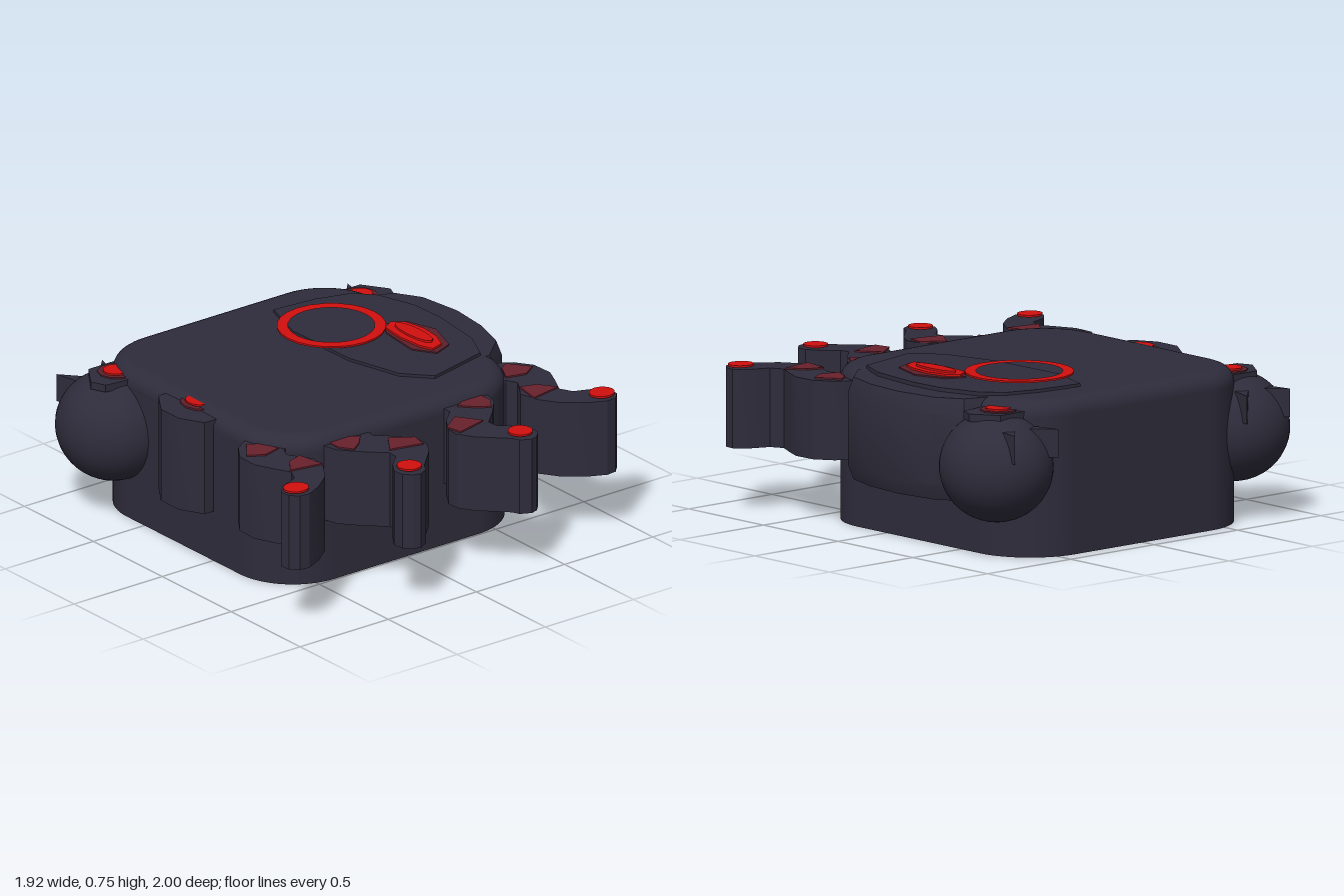
import * as THREE from 'three';
import { toCreasedNormals } from 'three/addons/utils/BufferGeometryUtils.js';

const mat = (name, color) => {
  const m = new THREE.MeshStandardMaterial({ color });
  m.name = name;
  return m;
};

export function createModel() {
  const model = new THREE.Group();
  const dark = mat('charcoal', 0x2e2c3b);
  const red = mat('bright red', 0xd20f0f);
  const dim = mat('dim red', 0x68212d);
  const halo = mat('halo red', 0x5a212b);

  const add = (name, geo, material) => {
    const mesh = new THREE.Mesh(geo, material);
    mesh.name = name;
    model.add(mesh);
    return mesh;
  };

  // Outline in (x, z) as a shape; s = -1 mirrors it
  const outline = (pts, s = 1) => new THREE.Shape(pts.map(([x, z]) => new THREE.Vector2(s * x, -z)));

  // Upright prism from y0 to y1, optionally with a bevelled edge kept inside the outline
  const prism = (name, shape, y0, y1, material, bevel = null) => {
    const b = bevel || { size: 0, height: 0, segments: 1 };
    const geo = new THREE.ExtrudeGeometry(shape, {
      depth: y1 - y0 - 2 * b.height, curveSegments: 14, bevelEnabled: !!bevel,
      bevelSize: b.size, bevelThickness: b.height, bevelOffset: -b.size, bevelSegments: b.segments,
    });
    geo.rotateX(-Math.PI / 2);
    geo.translate(0, y0 + b.height, 0);
    return add(name, toCreasedNormals(geo, 0.5), material);
  };

  const ellipse = (x, z, rx, rz, n = 24) => Array.from({ length: n }, (_, i) => {
    const a = (i / n) * Math.PI * 2;
    return [x + rx * Math.cos(a), z + rz * Math.sin(a)];
  });

  // Body: rounded square with a softened top edge
  const roundedSquare = (h, r, cz) => {
    const s = new THREE.Shape();
    [[1, 1, 0], [-1, 1, 1], [-1, -1, 2], [1, -1, 3]].forEach(([sx, sy, q]) =>
      s.absarc(sx * (h - r), -cz + sy * (h - r), r, q * Math.PI / 2, (q + 1) * Math.PI / 2, false));
    return s;
  };
  prism('body', roundedSquare(0.71, 0.3, -0.217), 0, 0.636, dark);
  prism('bodyTop', roundedSquare(0.71, 0.3, -0.217), 0.56, 0.71, dark, { size: 0.075, height: 0.07, segments: 6 });

  // Faceted shoulder on the left side, with its cover plate
  prism('shoulder', outline([[0.43, -0.7], [0.61, -0.67], [0.79, -0.61], [0.87, -0.48], [0.9, -0.26],
    [0.88, -0.05], [0.825, 0.13], [0.69, 0.25], [0.4, 0.25], [0.3, -0.2]]), 0.24, 0.706, dark,
  { size: 0.025, height: 0.07, segments: 1 });
  prism('coverPlate', outline([[0.21, -0.74], [0.43, -0.72], [0.6, -0.67], [0.68, -0.58], [0.74, -0.39],
    [0.745, -0.21], [0.71, 0.06], [0.64, 0.21], [0.32, 0.29], [0.21, 0.17], [0.14, -0.1], [0.13, -0.5]]), 0.69, 0.724, dark);

  // Ring and long slit eye on the plate
  const ring = outline(ellipse(0.28, -0.41, 0.245, 0.245));
  ring.holes.push(outline(ellipse(0.28, -0.41, 0.195, 0.195)));
  prism('ring', ring, 0.735, 0.743, red);
  prism('slitHalo', outline([[0.5, -0.3], [0.59, -0.26], [0.64, -0.11], [0.58, 0.06], [0.48, 0.1],
    [0.415, 0], [0.44, -0.22]]), 0.723, 0.73, halo);
  prism('slitEye', outline([[0.52, -0.285], [0.57, -0.24], [0.59, -0.14], [0.58, -0.03], [0.545, 0.05],
    [0.48, 0.07], [0.455, 0.01], [0.445, -0.12], [0.46, -0.25]]), 0.73, 0.739, red);
  prism('slitPupil', outline(ellipse(0.517, -0.115, 0.038, 0.13, 12)), 0.739, 0.748, red);

  // Small faceted bump with an eye on the right side
  prism('sideBump', outline([[-0.6, -0.37], [-0.735, -0.367], [-0.82, -0.24], [-0.82, -0.11], [-0.76, 0], [-0.6, 0]]),
    0.24, 0.685, dark);
  prism('sideHalo', outline(ellipse(-0.66, -0.185, 0.065, 0.09, 10)), 0.686, 0.694, halo);
  prism('sideEye', outline(ellipse(-0.663, -0.185, 0.042, 0.06, 16)), 0.698, 0.706, red);

  for (const s of [1, -1]) {
    const side = s > 0 ? 'left' : 'right';

    // Rear ball with a cap plate, an eye and two claws
    const ball = add(side + 'Ball', new THREE.SphereGeometry(0.25, 40, 28), dark);
    ball.scale.z = 1.055;
    ball.position.set(s * 0.71, 0.412, -0.735);
    prism(side + 'BallCap', outline([[0.85, -0.71], [0.77, -0.83], [0.59, -0.83], [0.54, -0.77],
      [0.57, -0.66], [0.66, -0.62], [0.82, -0.64]], s), 0.63, 0.665, dark);
    prism(side + 'BallHalo', outline(ellipse(0.69, -0.73, 0.085, 0.085, 10), s), 0.665, 0.671, halo);
    prism(side + 'BallEye', outline(ellipse(0.695, -0.73, 0.056, 0.056, 16), s), 0.671, 0.679, red);
    prism(side + 'OuterClaw', outline([[0.825, -0.99], [0.8, -0.87], [0.745, -0.9]], s), 0.47, 0.6, dark);
    prism(side + 'InnerClaw', outline([[0.566, -0.99], [0.6, -0.87], [0.656, -0.9]], s), 0.47, 0.6, dark);

    // Outer curling leg
    prism(side + 'OuterLeg', outline([[0.6, 0.2], [0.7, 0.22], [0.78, 0.27], [0.835, 0.35], [0.84, 0.46],
      [0.8, 0.55], [0.76, 0.63], [0.79, 0.69], [0.89, 0.73], [0.935, 0.78], [0.93, 0.83], [0.895, 0.865],
      [0.845, 0.87], [0.76, 0.83], [0.67, 0.76], [0.61, 0.67], [0.585, 0.57], [0.62, 0.52], [0.655, 0.46],
      [0.63, 0.41], [0.55, 0.38]], s), 0.3, 0.66, dark);
    prism(side + 'OuterLegMark', outline([[0.81, 0.37], [0.735, 0.27], [0.69, 0.3], [0.645, 0.39], [0.74, 0.415]], s), 0.66, 0.667, dim);
    prism(side + 'OuterLegMark', outline([[0.76, 0.62], [0.7, 0.54], [0.624, 0.515], [0.6, 0.65]], s), 0.66, 0.667, dim);
    prism(side + 'OuterLegTip', outline(ellipse(0.867, 0.8, 0.06, 0.055, 16), s), 0.666, 0.675, red);

    // Inner curling leg
    prism(side + 'InnerLeg', outline([[0.44, 0.4], [0.465, 0.48], [0.445, 0.56], [0.365, 0.65], [0.28, 0.73],
      [0.285, 0.78], [0.35, 0.84], [0.39, 0.9], [0.385, 0.955], [0.35, 0.99], [0.315, 1], [0.265, 0.975],
      [0.25, 0.94], [0.127, 0.82], [0.085, 0.75], [0.085, 0.69], [0.14, 0.6], [0.217, 0.53], [0.2, 0.4]], s),
    0.3, 0.66, dark);
    prism(side + 'InnerLegMark', outline([[0.43, 0.46], [0.35, 0.47], [0.275, 0.51], [0.33, 0.57], [0.39, 0.61], [0.43, 0.55]], s), 0.66, 0.667, dim);
    prism(side + 'InnerLegMark', outline([[0.265, 0.71], [0.19, 0.6], [0.09, 0.67], [0.106, 0.75]], s), 0.66, 0.667, dim);
    prism(side + 'InnerLegTip', outline(ellipse(0.315, 0.915, 0.056, 0.056, 16), s), 0.666, 0.675, red);
  }

  return model;
}
